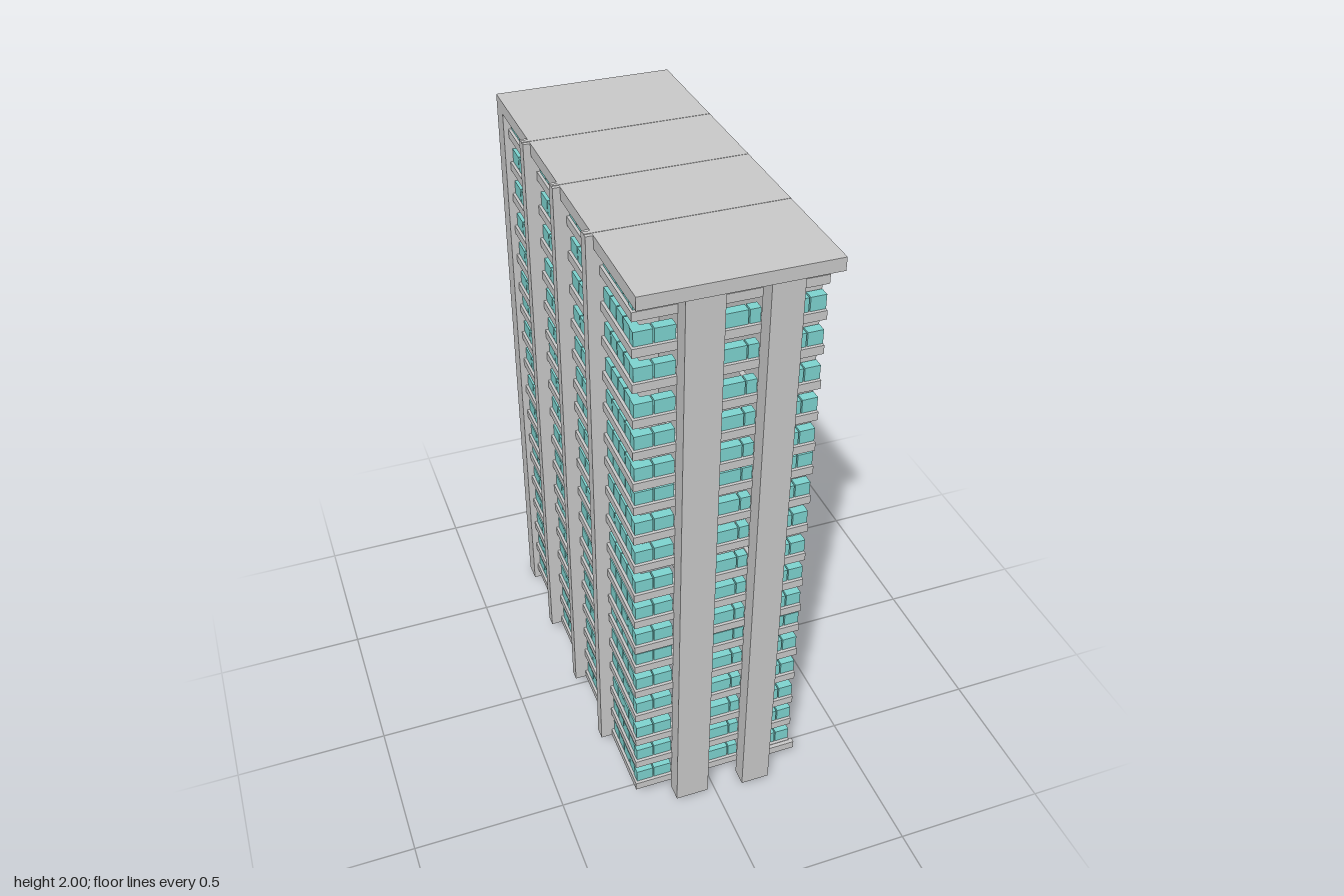
import * as THREE from 'three';

const concrete = new THREE.MeshStandardMaterial({ color: 0xcccccc, flatShading: true });
const glass = new THREE.MeshStandardMaterial({ color: 0x7fd6d2, flatShading: true });

// Box given by its min and max on each axis
function block(parent, name, [x0, x1], [y0, y1], [z0, z1], material = concrete) {
  const mesh = new THREE.Mesh(new THREE.BoxGeometry(x1 - x0, y1 - y0, z1 - z0), material);
  mesh.position.set((x0 + x1) / 2, (y0 + y1) / 2, (z0 + z1) / 2);
  mesh.name = name;
  parent.add(mesh);
  return mesh;
}

function addGroup(parent, name) {
  const group = new THREE.Group();
  group.name = name;
  parent.add(group);
  return group;
}

// Bays between the side fins, as z ranges
const bays = [[-0.58, -0.305], [-0.267, -0.007], [0.027, 0.28], [0.318, 0.53]];
// Three stacked sections of six storeys each; heights of the parapet bottoms
const sections = [0.06, 0.695, 1.33];
const storeys = [0, 0.108, 0.215, 0.33, 0.44, 0.55];

// Blank side wall with a row of slots at the foot of each section
function sideWall() {
  const outline = (z0, z1, y0, y1, Type) => {
    const path = new Type();
    path.moveTo(z0, y0);
    path.lineTo(z1, y0);
    path.lineTo(z1, y1);
    path.lineTo(z0, y1);
    path.closePath();
    return path;
  };
  // Shape x runs along -z so that the extrusion goes towards +x
  const shape = outline(-0.525, 0.58, 0.06, 1.96, THREE.Shape);
  for (const y of sections.slice(1)) {
    for (const [a, b] of bays) {
      shape.holes.push(outline(-Math.min(b, 0.52), -Math.max(a, -0.575), y, y + 0.027, THREE.Path));
    }
  }
  const geometry = new THREE.ExtrudeGeometry(shape, { depth: 0.05, bevelEnabled: false });
  geometry.rotateY(Math.PI / 2);
  const mesh = new THREE.Mesh(geometry, concrete);
  mesh.position.x = 0.237;
  mesh.name = 'sideWall';
  return mesh;
}

// One storey: parapets on the front and open side, with panes standing on them
function addStorey(parent, y) {
  const floor = addGroup(parent, 'storey');
  const band = [y, y + 0.028];
  const pane = [y + 0.028, y + 0.072];
  block(floor, 'frontParapet', [-0.265, 0.286], band, [0.53, 0.568]);
  for (const [x0, x1] of [[-0.258, -0.203], [-0.199, -0.14], [-0.03, 0.062], [0.066, 0.097],
    [0.19, 0.235], [0.239, 0.286]]) {
    block(floor, 'frontWindow', [x0, x1], pane, [0.528, 0.558], glass);
  }
  for (const [z0, z1] of bays) {
    block(floor, 'sideParapet', [-0.265, -0.228], band, [z0, z1]);
    const count = 4;
    const step = (z1 - z0) / count;
    for (let i = 0; i < count; i++) {
      block(floor, 'sideWindow', [-0.256, -0.23], pane,
        [z0 + i * step + 0.002, z0 + (i + 1) * step - 0.002], glass);
    }
  }
}

export function createModel() {
  const model = new THREE.Group();
  model.name = 'apartmentTower';

  // Main shell
  block(model, 'roof', [-0.28, 0.287], [1.96, 2], [-0.58, 0.645]);
  block(model, 'backWall', [-0.28, 0.287], [0.02, 2], [-0.645, -0.58]);
  model.add(sideWall());

  // Storeys
  const storeyGroup = addGroup(model, 'storeys');
  for (const base of sections) {
    for (const offset of storeys) addStorey(storeyGroup, base + offset);
  }

  // Front columns
  block(model, 'frontColumn', [-0.14, -0.03], [0.02, 1.96], [0.565, 0.62]);
  block(model, 'frontColumn', [0.095, 0.19], [0, 1.96], [0.565, 0.62]);

  // Ledge at the foot of the front
  block(model, 'baseLedge', [0.19, 0.298], [0.058, 0.086], [0.563, 0.581]);

  // Vertical fins of the open side, carried over the roof as thin seams
  for (let i = 0; i < 3; i++) {
    const z = [bays[i][1], bays[i + 1][0]];
    block(model, 'sideFin', [-0.302, -0.225], [0.06, 1.999], z);
    block(model, 'roofSeam', [-0.302, 0.287], [1.999, 2.001], [z[0] + 0.012, z[1] - 0.012]);
  }
  return model;
}
